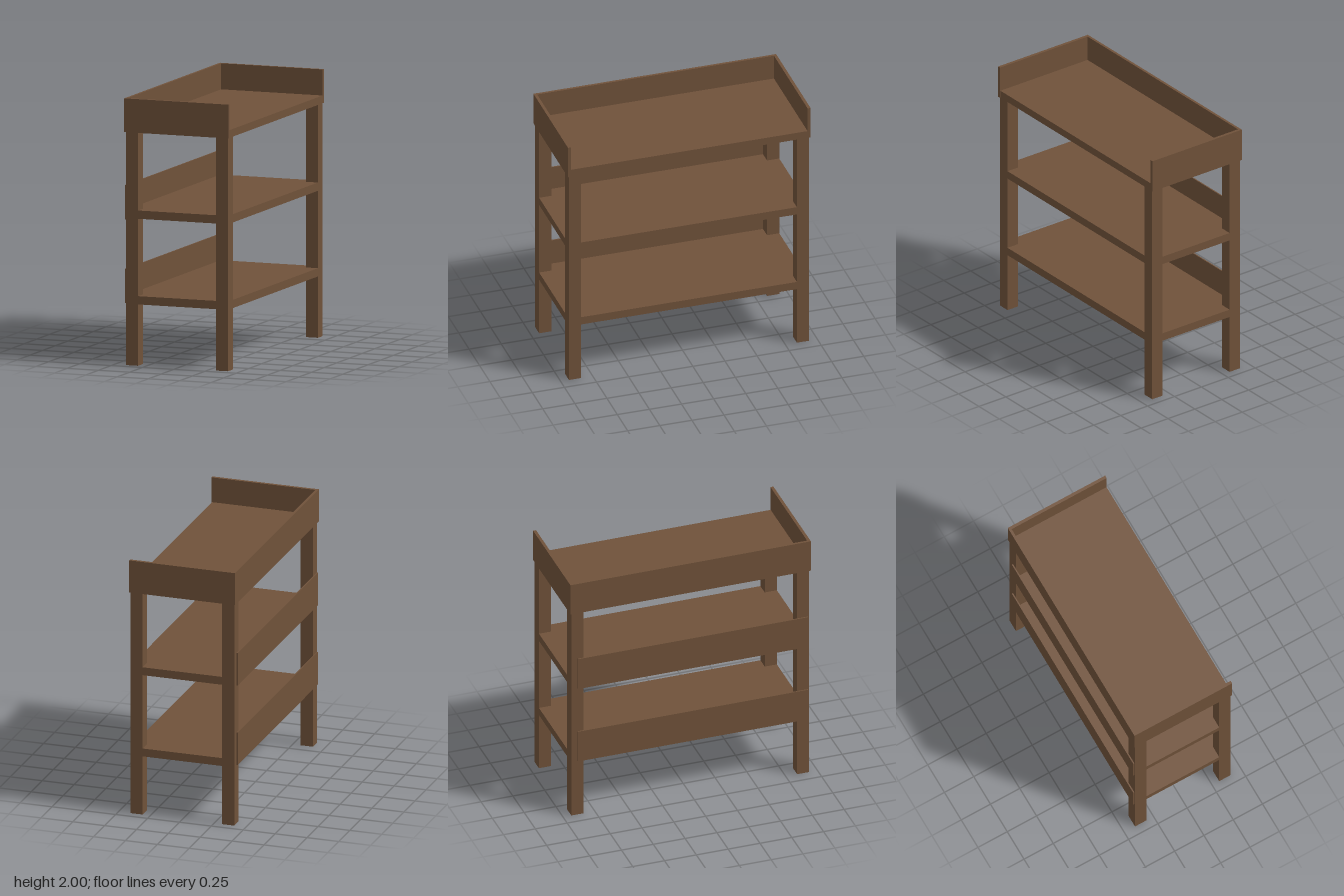
import * as THREE from 'three';

export function createModel() {
  const group = new THREE.Group();
  const wood = new THREE.MeshStandardMaterial({ color: 0x70523a });
  wood.name = 'brown wood';

  function add(name, geometry) {
    const mesh = new THREE.Mesh(geometry, wood);
    mesh.name = name;
    group.add(mesh);
    return mesh;
  }

  // Board given by its minimum and maximum corners
  function board(name, [x0, y0, z0], [x1, y1, z1]) {
    const mesh = add(name, new THREE.BoxGeometry(x1 - x0, y1 - y0, z1 - z0));
    mesh.position.set((x0 + x1) / 2, (y0 + y1) / 2, (z0 + z1) / 2);
  }

  const outX = 0.408, inX = 0.311; // leg faces
  const outZ = 0.935, inZ = 0.84;

  // Four square legs
  for (const [sx, side] of [[-1, 'Right'], [1, 'Left']]) {
    for (const [sz, end] of [[-1, 'back'], [1, 'front']]) {
      const leg = add(end + side + 'Leg', new THREE.BoxGeometry(outX - inX, 1.75, outZ - inZ));
      leg.position.set(sx * (outX + inX) / 2, 0.875, sz * (outZ + inZ) / 2);
    }
  }

  // Shelves with corners notched around the legs
  const outline = new THREE.Shape([
    [-inX, -outZ], [inX, -outZ], [inX, -inZ], [outX, -inZ], [outX, inZ], [inX, inZ],
    [inX, outZ], [-inX, outZ], [-inX, inZ], [-outX, inZ], [-outX, -inZ], [-inX, -inZ],
  ].map(([x, z]) => new THREE.Vector2(x, z)));
  for (const [name, y] of [['lowerShelf', 0.46], ['middleShelf', 1.102]]) {
    const geometry = new THREE.ExtrudeGeometry(outline, { depth: 0.062, bevelEnabled: false });
    geometry.rotateX(-Math.PI / 2);
    add(name, geometry).position.y = y;
  }

  // Rails along the side behind the shelves
  board('lowerRail', [-0.418, 0.463, -0.885], [-0.408, 0.72, 0.925]);
  board('middleRail', [-0.418, 1.09, -0.885], [-0.408, 1.348, 0.925]);

  // Top deck with a raised edge on three sides
  board('topDeck', [-0.398, 1.747, -0.925], [0.412, 1.805, 0.925]);
  board('sideEdge', [-0.418, 1.747, -0.945], [-0.398, 2, 0.945]);
  board('frontEdge', [-0.398, 1.747, 0.922], [0.416, 2, 0.945]);
  board('backEdge', [-0.398, 1.747, -0.945], [0.413, 2, -0.922]);

  return group;
}
